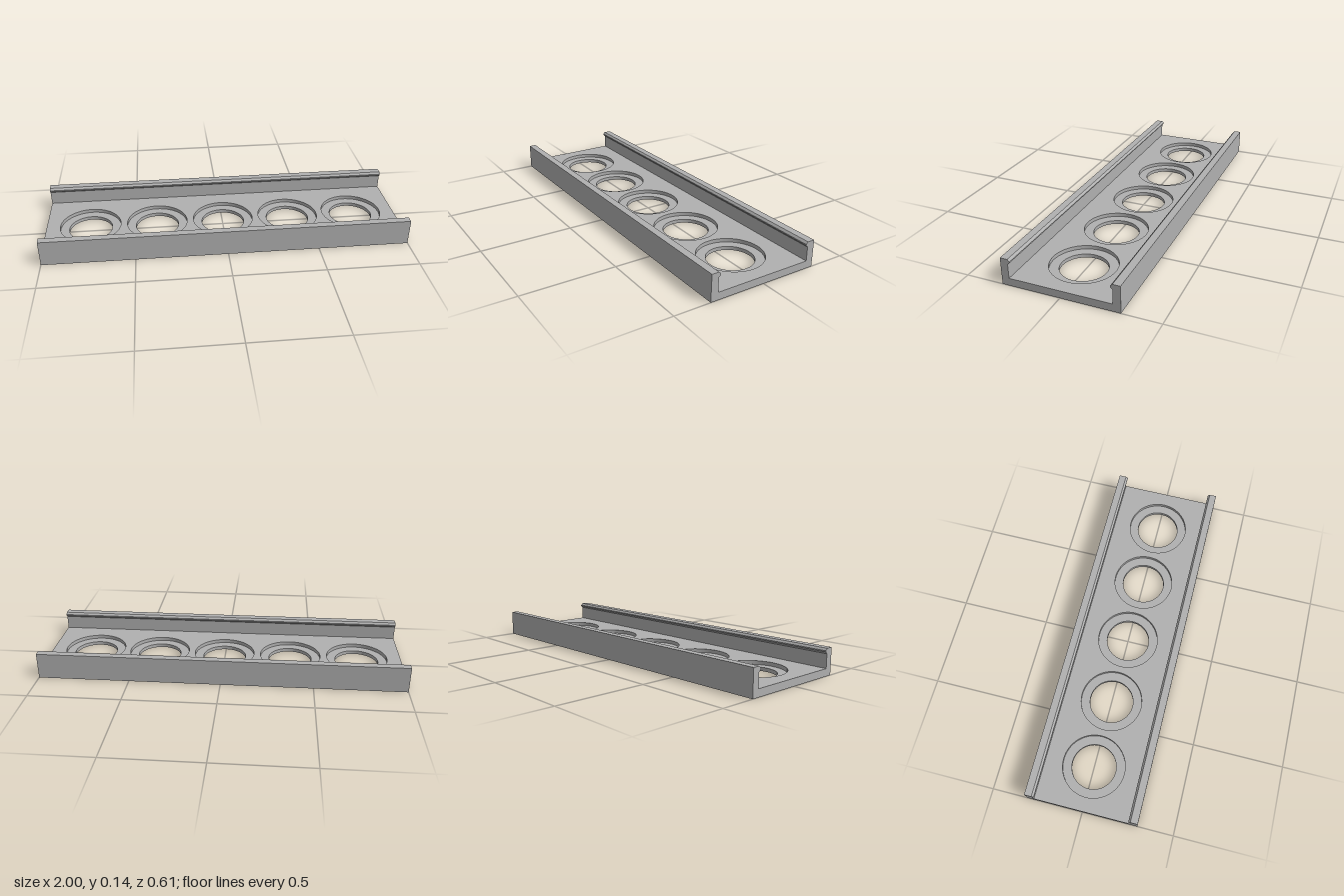
import * as THREE from 'three';
import { toCreasedNormals } from 'three/addons/utils/BufferGeometryUtils.js';

const LENGTH = 2, HALF_WIDTH = 0.304, INNER = 0.265, HEIGHT = 0.143;
const FLOOR = 0.04, LEDGE = 0.02;
const HOLE_RADIUS = 0.121, RECESS_RADIUS = 0.17, HOLE_COUNT = 5, HOLE_PITCH = 0.377;

// Flat plate lying on y, pierced by a row of round holes
function piercedPlate(radius, y, thickness) {
  const shape = new THREE.Shape([
    new THREE.Vector2(-LENGTH / 2, -INNER), new THREE.Vector2(LENGTH / 2, -INNER),
    new THREE.Vector2(LENGTH / 2, INNER), new THREE.Vector2(-LENGTH / 2, INNER),
  ]);
  for (let i = 0; i < HOLE_COUNT; i++) {
    const x = (i - (HOLE_COUNT - 1) / 2) * HOLE_PITCH;
    shape.holes.push(new THREE.Path().absarc(x, 0, radius, 0, Math.PI * 2, true));
  }
  const geometry = new THREE.ExtrudeGeometry(shape, { depth: thickness, bevelEnabled: false, curveSegments: 64 });
  geometry.rotateX(-Math.PI / 2).translate(0, y, 0);
  return toCreasedNormals(geometry, 0.5);
}

// Side wall with a chamfered snap lip, profile in (z, y) swept along x
function railGeometry() {
  const profile = new THREE.Shape([
    [INNER, 0], [HALF_WIDTH, 0], [HALF_WIDTH, HEIGHT], [INNER, HEIGHT],
    [0.254, 0.132], [0.254, 0.126], [INNER, 0.115],
  ].map(([z, y]) => new THREE.Vector2(z, y)));
  const geometry = new THREE.ExtrudeGeometry(profile, { depth: LENGTH, bevelEnabled: false });
  return geometry.rotateY(-Math.PI / 2).translate(LENGTH / 2, 0, 0);
}

export function createModel() {
  const model = new THREE.Group();
  model.name = 'perforatedChannel';
  const grey = new THREE.MeshStandardMaterial({ color: 0xb0b0b0 });
  grey.name = 'grey';

  const add = (name, geometry) => {
    const mesh = new THREE.Mesh(geometry, grey);
    mesh.name = name;
    model.add(mesh);
    return mesh;
  };

  // Floor: narrow through-holes below, wider recesses above
  add('floorWithHoles', piercedPlate(HOLE_RADIUS, 0, LEDGE));
  add('floorWithRecesses', piercedPlate(RECESS_RADIUS, LEDGE, FLOOR - LEDGE));

  // Matching rails along both long edges
  const rail = railGeometry();
  add('frontRail', rail);
  add('backRail', rail).rotation.y = Math.PI;

  return model;
}
